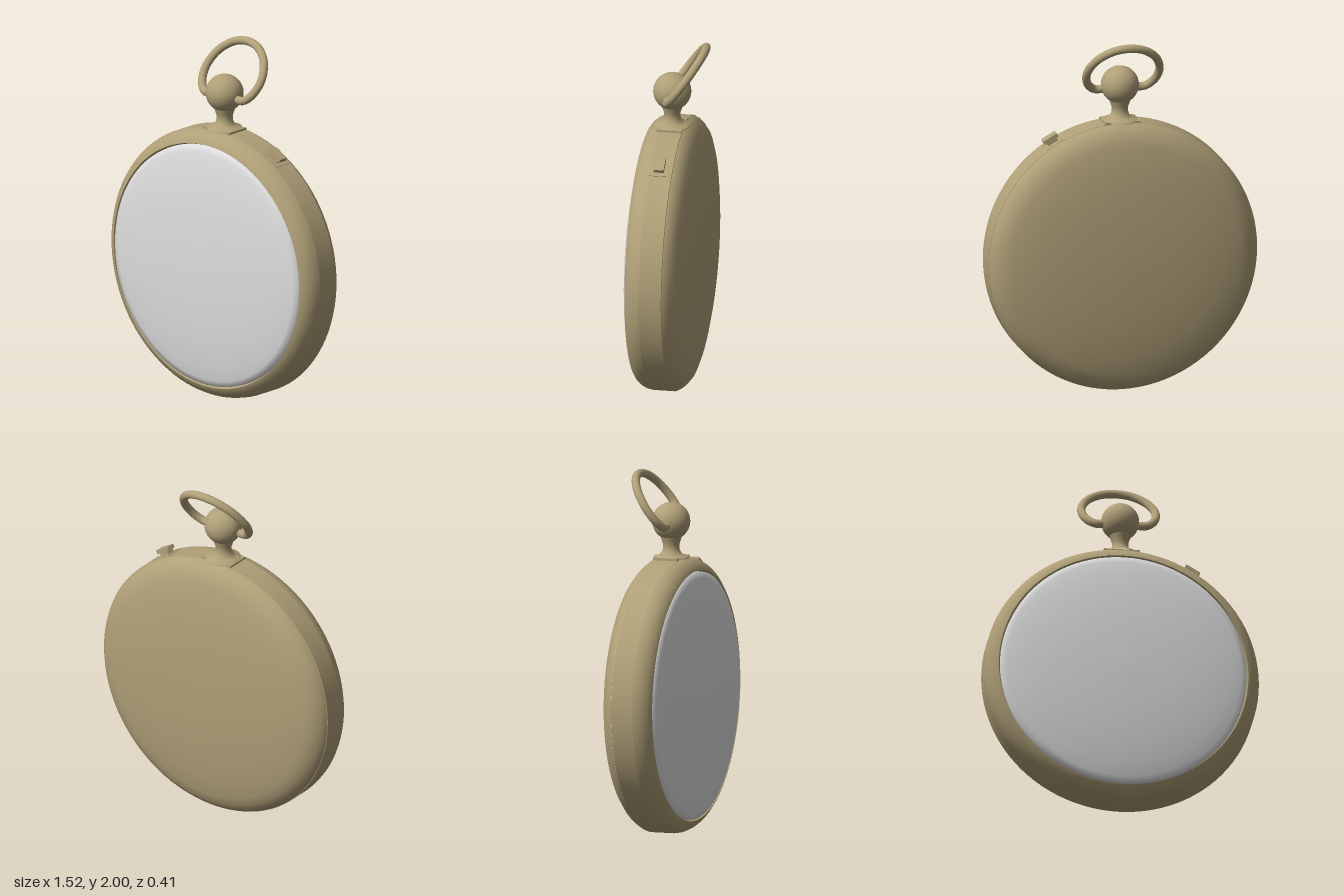
import * as THREE from 'three';

const CENTRE_Y = 0.762;

export function createModel() {
  const model = new THREE.Group();
  const brass = new THREE.MeshStandardMaterial({ color: 0xb0a078 });
  brass.name = 'brass';
  const crystal = new THREE.MeshStandardMaterial({ color: 0xdedede });
  crystal.name = 'crystal';

  const add = (name, geometry, material, parent = model) => {
    const mesh = new THREE.Mesh(geometry, material);
    mesh.name = name;
    parent.add(mesh);
    return mesh;
  };
  const lathe = (points, segments) =>
    new THREE.LatheGeometry(points.map(([r, h]) => new THREE.Vector2(r, h)), segments);
  // Round part turned about the front-to-back axis; points are [radius, z]
  const disc = (name, points, material) =>
    add(name, lathe(points, 96).rotateX(Math.PI / 2), material).position.y = CENTRE_Y;

  // Case: domed back lid, straight band and rounded bezel
  disc('backLid', [[0, -0.205], [0.2, -0.202], [0.4, -0.19], [0.55, -0.172], [0.65, -0.152],
    [0.7, -0.135], [0.735, -0.108], [0.753, -0.085], [0.759, -0.07]], brass);
  disc('band', [[0.757, -0.07], [0.762, -0.068]], brass);
  disc('bandSide', [[0.762, -0.068], [0.762, 0.055]], brass);
  disc('bezel', [[0.762, 0.055], [0.757, 0.08], [0.745, 0.105], [0.727, 0.127],
    [0.705, 0.142], [0.692, 0.147]], brass);
  disc('bezelLip', [[0.692, 0.147], [0.686, 0.125], [0.67, 0.125]], brass);

  // Domed glass
  disc('glass', [[0.684, 0.125], [0.682, 0.147], [0.65, 0.157], [0.58, 0.17], [0.48, 0.183],
    [0.35, 0.194], [0.2, 0.202], [0, 0.205]], crystal);

  // Pendant: pad, flared neck and ball
  add('neckPad', new THREE.BoxGeometry(0.2, 0.03, 0.14), brass).position.y = 1.514;
  add('neck', lathe([[0.1, 1.52], [0.096, 1.531], [0.07, 1.537], [0.053, 1.552], [0.045, 1.575],
    [0.045, 1.598], [0.053, 1.62], [0.062, 1.65]], 32), brass);
  add('ball', new THREE.SphereGeometry(0.105, 40, 28), brass).position.y = 1.725;

  // Bow leaning backwards, both ends seated in the ball
  const half = [[0.08, 1.708], [0.14, 1.706], [0.187, 1.745], [0.206, 1.82], [0.17, 1.905], [0.09, 1.963]];
  const outline = [...half, [0, 1.98], ...half.map(([x, y]) => [-x, y]).reverse()];
  const path = new THREE.CatmullRomCurve3(
    outline.map(([x, y]) => new THREE.Vector3(x, y, -(y - 1.715) * 0.7)));
  add('bow', new THREE.TubeGeometry(path, 96, 0.023, 16, false), brass);

  // Push button on the upper left of the band
  const button = new THREE.Group();
  button.name = 'pushButton';
  const angle = 0.525;
  button.position.set(Math.sin(angle) * 0.762, CENTRE_Y + Math.cos(angle) * 0.762, 0);
  button.rotation.z = -angle;
  add('buttonPlate', new THREE.BoxGeometry(0.11, 0.02, 0.11), brass, button).position.y = -0.009;
  add('buttonStem', new THREE.BoxGeometry(0.06, 0.03, 0.045), brass, button).position.y = 0.01;
  add('buttonCap', new THREE.BoxGeometry(0.088, 0.022, 0.055), brass, button).position.y = 0.03;
  model.add(button);

  return model;
}
